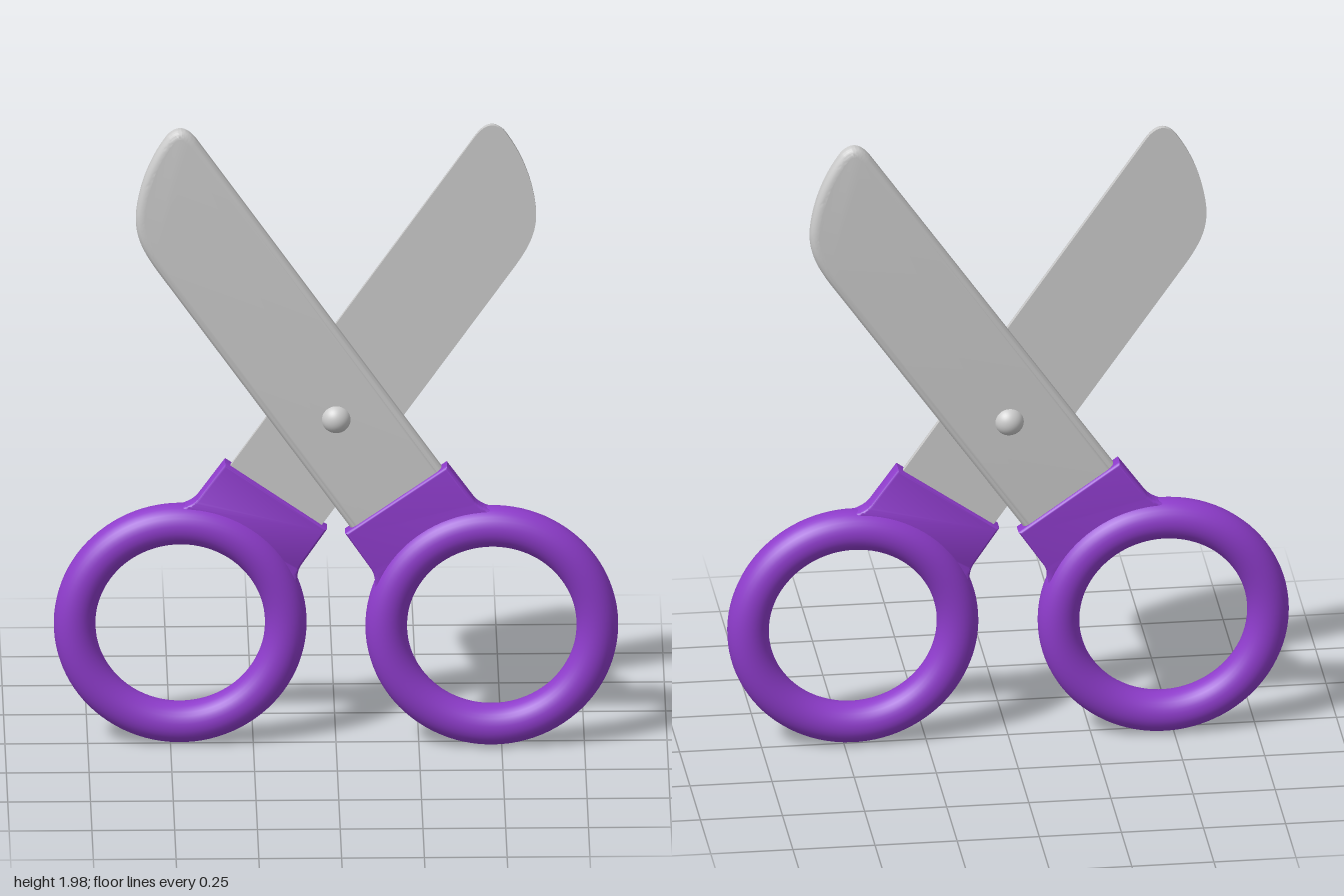
import * as THREE from 'three';
import { toCreasedNormals } from 'three/addons/utils/BufferGeometryUtils.js';

const PIVOT_Y = 1.065;                       // height of the rivet
const OPENING = THREE.MathUtils.degToRad(35); // lean of each half
const RING_Y = -0.82;                        // ring centre, measured along the half from the rivet
const LAYER_Z = 0.018;                       // middle plane of one half

const metal = new THREE.MeshStandardMaterial({ color: 0xcccccc });
const plastic = new THREE.MeshStandardMaterial({ color: 0x8e3ccb });

function part(name, geometry, material) {
  const mesh = new THREE.Mesh(geometry, material);
  mesh.name = name;
  return mesh;
}

// Extrusion with rounded edges that stays inside the drawn outline
function roundedPlate(shape, depth, bevelSize, bevelThickness) {
  return new THREE.ExtrudeGeometry(shape, {
    depth, bevelSize, bevelThickness, bevelOffset: -bevelSize,
    bevelSegments: 5, curveSegments: 24,
  });
}

// Blade: straight cutting edge, swept round tip, flat inner face
function bladeGeometry() {
  const s = new THREE.Shape();
  s.moveTo(-0.168, -0.45);
  s.lineTo(0.168, -0.45);
  s.lineTo(0.169, 0.97);
  s.bezierCurveTo(0.169, 1.03, 0.145, 1.045, 0.105, 1.038);
  s.bezierCurveTo(0.02, 1.01, -0.06, 0.955, -0.12, 0.883);
  s.bezierCurveTo(-0.16, 0.83, -0.17, 0.78, -0.17, 0.69);
  s.closePath();
  const g = roundedPlate(s, 0.016, 0.025, 0.022);
  const p = g.attributes.position;
  for (let i = 0; i < p.count; i++) p.setZ(i, Math.max(p.getZ(i), 0.003));
  return toCreasedNormals(g, 0.5);
}

// Collar: joins the blade to the ring, flaring slightly onto it
function collarGeometry() {
  const s = new THREE.Shape();
  const r = 0.31;
  const a = Math.acos(0.2 / r);
  s.moveTo(0.188, -0.315);
  s.lineTo(-0.188, -0.315);
  s.lineTo(-0.19, -0.455);
  s.quadraticCurveTo(-0.193, -0.495, -0.235, -0.53);
  s.lineTo(-0.2, RING_Y + r * Math.sin(a));
  s.absarc(0, RING_Y, r, Math.PI - a, a, true);
  s.lineTo(0.235, -0.53);
  s.quadraticCurveTo(0.193, -0.495, 0.19, -0.455);
  s.closePath();
  const g = roundedPlate(s, 0.038, 0.01, 0.01);
  g.translate(0, 0, LAYER_Z - 0.018);
  return toCreasedNormals(g, 0.5);
}

// One half, built along y around the rivet and then leaned over
function makeHalf(name) {
  const lean = new THREE.Group();
  lean.add(part('blade', bladeGeometry(), metal));
  lean.add(part('collar', collarGeometry(), plastic));
  const ring = part('fingerRing', new THREE.TorusGeometry(0.319, 0.063, 32, 96), plastic);
  ring.position.set(0, RING_Y, LAYER_Z);
  lean.add(ring);
  lean.rotation.z = OPENING;
  lean.position.y = PIVOT_Y;
  const half = new THREE.Group();
  half.name = name;
  half.add(lean);
  return half;
}

export function createModel() {
  const model = new THREE.Group();
  model.name = 'scissors';

  // The back half is the front half turned about the vertical axis
  const back = makeHalf('backHalf');
  back.rotation.y = Math.PI;
  model.add(makeHalf('frontHalf'), back);

  // Rivet with a dome on each side
  const rivet = part('rivet', new THREE.CapsuleGeometry(0.046, 0.046, 12, 32), metal);
  rivet.rotation.x = Math.PI / 2;
  rivet.position.y = PIVOT_Y;
  model.add(rivet);

  return model;
}
